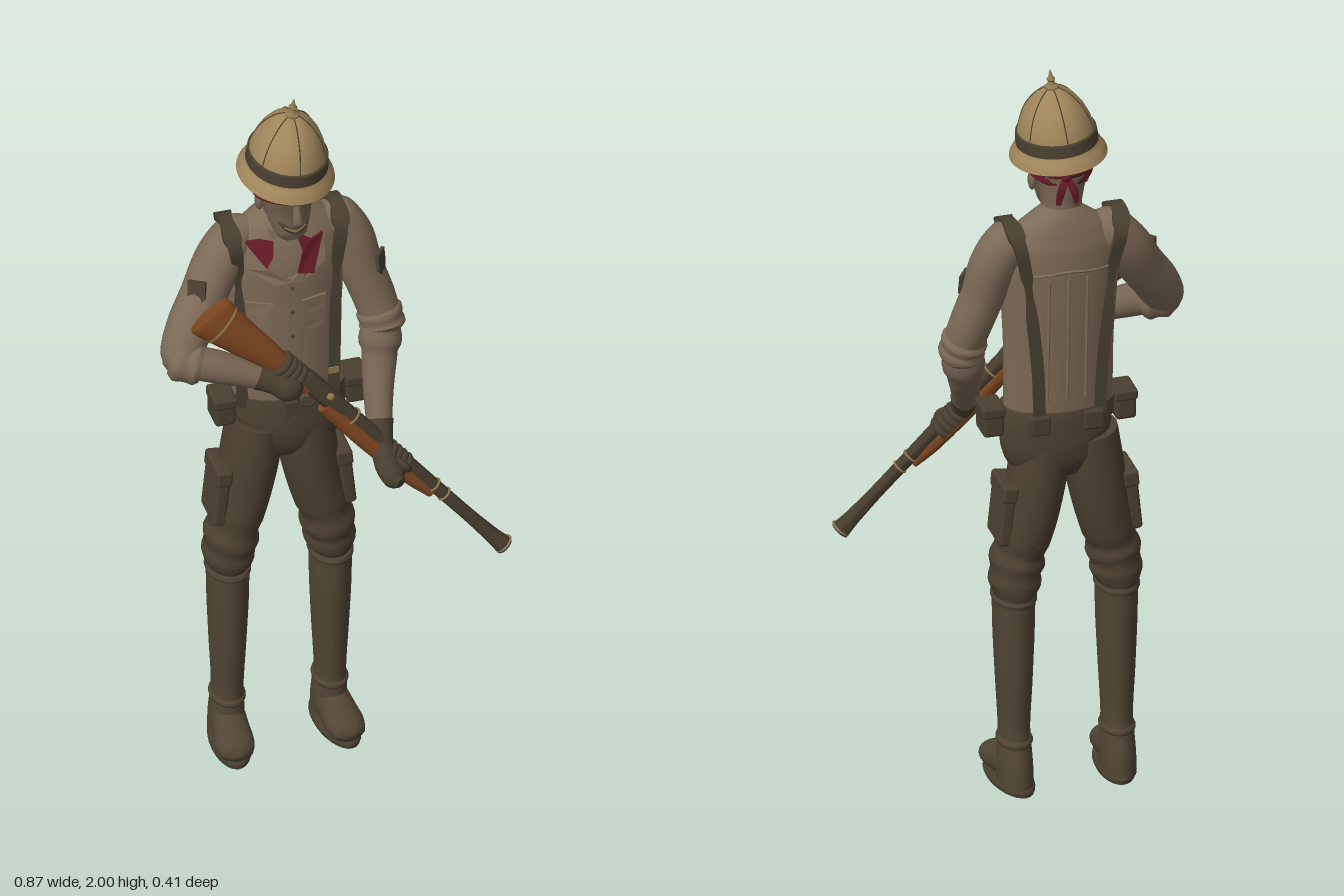
import * as THREE from 'three';
import { toCreasedNormals } from 'three/addons/utils/BufferGeometryUtils.js';
import { RoundedBoxGeometry } from 'three/addons/geometries/RoundedBoxGeometry.js';

const paint = (name, color, side = THREE.FrontSide) => {
  const m = new THREE.MeshStandardMaterial({ color, side });
  m.name = name;
  return m;
};
const M = {
  shirt: paint('shirt khaki', 0x7d6a56),
  trousers: paint('trouser brown', 0x4c4030),
  boots: paint('boot brown', 0x514534),
  helmet: paint('helmet tan', 0xa0855a, THREE.DoubleSide),
  leather: paint('dark leather', 0x493f30, THREE.DoubleSide),
  red: paint('dark red cloth', 0x661b26, THREE.DoubleSide),
  skin: paint('skin', 0x766452),
  wood: paint('wood', 0x7d4520),
  metal: paint('gun metal', 0x473d2e),
  brass: paint('dull brass', 0x8f784e),
};
const V = (x, y, z) => new THREE.Vector3(x, y, z);

function add(parent, name, geo, mat, pos, rot) {
  const m = new THREE.Mesh(geo, mat);
  m.name = name;
  if (pos) m.position.set(...pos);
  if (rot) m.rotation.set(...rot);
  parent.add(m);
  return m;
}

// Smooth sweep through points [x, y, z, half width a, half width b]; a lies along ref.
function sweep(pts, { sides = 20, seg = 6, ref = V(1, 0, 0) } = {}) {
  const path = new THREE.CatmullRomCurve3(pts.map(p => V(p[0], p[1], p[2])));
  const size = new THREE.CatmullRomCurve3(pts.map(p => V(p[3], p[4] ?? p[3], 0)));
  const n = (pts.length - 1) * seg, pos = [], idx = [];
  const square = sides === 4, k = square ? Math.SQRT2 : 1;
  for (let i = 0; i <= n; i++) {
    const c = path.getPoint(i / n), s = size.getPoint(i / n), T = path.getTangent(i / n);
    const U = ref.clone().addScaledVector(T, -ref.dot(T)).normalize();
    const W = T.clone().cross(U);
    for (let j = 0; j < sides; j++) {
      const q = (j + (square ? 0.5 : 0)) / sides * Math.PI * 2;
      const p = c.clone().addScaledVector(U, k * s.x * Math.cos(q)).addScaledVector(W, k * s.y * Math.sin(q));
      pos.push(p.x, p.y, p.z);
      const a = i * sides + j, b = i * sides + (j + 1) % sides;
      if (i < n) idx.push(a, b, b + sides, a, b + sides, a + sides);
    }
  }
  const s0 = pos.length / 3, last = n * sides;
  [0, 1].forEach(t => pos.push(...path.getPoint(t).toArray()));
  for (let j = 0; j < sides; j++) {
    const j2 = (j + 1) % sides;
    idx.push(s0, j2, j, s0 + 1, last + j, last + j2);
  }
  const g = new THREE.BufferGeometry();
  g.setAttribute('position', new THREE.Float32BufferAttribute(pos, 3));
  g.setIndex(idx);
  return toCreasedNormals(g, 0.8);
}

// Torso sections: y, centre z, half width, half depth
const CX = -0.08;
const TORSO = [[1.04, -.095, .142, .078], [1.12, -.095, .142, .082], [1.25, -.098, .143, .085], [1.38, -.102, .15, .088],
  [1.48, -.104, .156, .089], [1.55, -.11, .146, .08], [1.595, -.113, .115, .066], [1.625, -.113, .075, .055], [1.645, -.112, .045, .045]];
function surf(x, y, dir = 1) {
  let i = 0;
  while (i < TORSO.length - 2 && TORSO[i + 1][0] < y) i++;
  const t = (y - TORSO[i][0]) / (TORSO[i + 1][0] - TORSO[i][0]);
  const [, z, a, b] = TORSO[i].map((v, k) => v + (TORSO[i + 1][k] - v) * t);
  return z + dir * b * Math.sqrt(Math.max(0.05, 1 - ((x - CX) / a) ** 2));
}
// Thin plate laid on the chest
function plate(points, off) {
  const shape = new THREE.Shape(points.map(p => new THREE.Vector2(...p)));
  const g = new THREE.ExtrudeGeometry(shape, { depth: 0.008, bevelEnabled: false }), p = g.attributes.position;
  for (let i = 0; i < p.count; i++) p.setZ(i, p.getZ(i) + off + surf(p.getX(i), p.getY(i)));
  g.computeVertexNormals();
  return g;
}

function buildTorso(root) {
  const g = new THREE.Group(); g.name = 'torso'; root.add(g);
  add(g, 'shirt', sweep(TORSO.map(([y, z, a, b]) => [CX, y, z, a, b]), { sides: 36 }), M.shirt);
  add(g, 'openNeck', plate([[-.14, 1.6], [-.1, 1.475], [-.05, 1.6]], 0), M.skin);
  add(g, 'scarfRight', plate([[-.2, 1.57], [-.165, 1.582], [-.133, 1.578], [-.138, 1.54], [-.155, 1.51]], .013), M.red);
  add(g, 'scarfLeft', plate([[0, 1.578], [-.035, 1.57], [-.073, 1.595], [-.06, 1.545], [-.077, 1.49], [-.035, 1.482]], .013), M.red);
  for (const s of [-1, 1]) {
    const X = d => -.1 + s * d;
    add(g, 'lapel', plate([[X(.105), 1.565], [X(.085), 1.575], [X(.05), 1.5], [X(0), 1.46], [X(.035), 1.455], [X(.1), 1.5]], .005), M.shirt);
    add(g, 'chestPocket', plate([[X(.04), 1.39], [X(.1), 1.39], [X(.1), 1.31], [X(.07), 1.295], [X(.04), 1.31]], 0), M.shirt);
    add(g, 'pocketFlap', plate([[X(.037), 1.395], [X(.103), 1.395], [X(.1), 1.365], [X(.07), 1.35], [X(.04), 1.365]], .003), M.shirt);
    // suspender over the shoulder
    const f = (d, y) => [-.09 + s * d, y, surf(-.09 + s * d, y) + .006, .015, .006];
    const b = (d, y) => [-.09 + s * d, y, surf(-.09 + s * d, y, -1) - .006, .015, .006];
    const over = [[.14, 1.575, -.045], [.145, 1.612, -.1], [.135, 1.58, -.17]].map(([d, y, z]) => [-.09 + s * d, y, z, .017, .007]);
    add(g, 'suspender', sweep([f(.115, 1.06), f(.12, 1.2), f(.123, 1.35), f(.128, 1.48), ...over,
      b(.115, 1.48), b(.1, 1.35), b(.085, 1.2), b(.08, 1.06)], { sides: 4 }), M.leather);
    add(g, 'suspenderClip', new THREE.BoxGeometry(.026, .018, .01), M.brass, [-.09 + s * .116, 1.14, surf(-.09 + s * .116, 1.14) + .008]);
  }
  // button placket and back seams
  add(g, 'placket', plate([[-.1, 1.47], [-.08, 1.47], [-.08, 1.09], [-.1, 1.09]], .001), M.shirt);
  for (let i = 0; i < 5; i++) add(g, 'button', new THREE.SphereGeometry(.005, 10, 8), M.leather, [-.09, 1.14 + i * .075, surf(-.09, 1.14 + i * .075) + .009]);
  for (const x of [-.13, -.08, -.03]) add(g, 'backPleat', sweep([1.12, 1.25, 1.38, 1.47].map(y => [x, y, surf(x, y, -1) - .001, .004]), { sides: 8 }), M.shirt);
  add(g, 'backYoke', sweep([-.19, -.135, -.08, -.025, .03].map(x => [x, 1.49 - Math.abs(x + .08) * .1, surf(x, 1.48, -1), .004]), { sides: 8, ref: V(0, 1, 0) }), M.shirt);
  // belt with buckle and pouches
  add(g, 'belt', sweep([[-.075, 1.035, -.095, .15, .086], [-.075, 1.06, -.095, .151, .087], [-.075, 1.085, -.095, .15, .086]], { sides: 36 }), M.boots);
  add(g, 'buckle', new RoundedBoxGeometry(.05, .045, .012, 2, .004), M.leather, [-.085, 1.06, -.008]);
  for (const [x, y] of [[-.252, 1.05], [.095, 1.05]]) {
    add(g, 'pouch', new RoundedBoxGeometry(.055, .08, .08, 2, .01), M.leather, [x, y, -.085]);
    add(g, 'pouchFlap', new RoundedBoxGeometry(.061, .03, .086, 2, .008), M.leather, [x, y + .028, -.085]);
  }
  for (const x of [-.15, -.01]) add(g, 'backPouch', new RoundedBoxGeometry(.055, .055, .022, 2, .008), M.leather, [x, 1.055, -.175]);
}

function buildLegs(root) {
  add(root, 'hips', sweep([[-.07, 1.055, -.095, .143, .08], [-.075, .99, -.095, .146, .085], [-.09, .935, -.095, .128, .08], [-.1, .89, -.095, .06, .055], [-.1, .875, -.095, .02, .03]], { sides: 32 }), M.trousers);
  for (const s of [-1, 1]) {
    const g = new THREE.Group(); g.name = s < 0 ? 'rightLeg' : 'leftLeg'; root.add(g);
    const X = d => -.1 + s * d;
    const L = rows => rows.map(([d, ...r]) => [X(d), ...r]);
    // baggy trouser leg with folds at the knee
    add(g, 'trouserLeg', sweep(L([[.06, .99, -.095, .074, .08], [.075, .88, -.095, .076, .086], [.095, .77, -.095, .072, .086],
      [.112, .705, -.092, .07, .083], [.12, .67, -.09, .063, .078], [.126, .64, -.09, .071, .084], [.131, .61, -.092, .063, .078],
      [.133, .585, -.093, .067, .08], [.135, .555, -.095, .056, .074], [.135, .53, -.095, .045, .06]]), { sides: 24 }), M.trousers);
    add(g, 'cargoPocket', new RoundedBoxGeometry(.035, .16, .115, 2, .01), M.trousers, [X(.165), .785, -.09], [0, 0, s * .1]);
    add(g, 'cargoFlap', new RoundedBoxGeometry(.042, .045, .12, 2, .008), M.trousers, [X(.158), .85, -.09], [0, 0, s * .1]);
    // tall boot
    add(g, 'bootShaft', sweep(L([[.135, .545, -.09, .054, .074], [.135, .44, -.09, .052, .071], [.135, .3, -.092, .046, .064],
      [.135, .17, -.093, .04, .056], [.135, .12, -.096, .042, .06], [.135, .06, -.1, .045, .07], [.135, .01, -.1, .046, .074]]), { sides: 24 }), M.boots);
    add(g, 'bootRim', sweep(L([[.135, .53, -.091, .055, .076], [.135, .54, -.091, .058, .079], [.135, .55, -.091, .055, .076]]), { sides: 24 }), M.boots);
    add(g, 'ankleStrap', sweep(L([[.135, .125, -.095, .042, .06], [.135, .135, -.095, .046, .064], [.135, .145, -.095, .041, .058]]), { sides: 24 }), M.boots);
    const foot = new THREE.Group(); foot.name = 'foot'; foot.position.set(X(.135), 0, -.095); foot.rotation.y = s * .1; g.add(foot);
    add(foot, 'shoe', sweep([[0, .05, -.04, .035, .045], [0, .06, 0, .045, .055], [0, .055, .05, .047, .05],
      [0, .043, .1, .051, .037], [0, .036, .135, .041, .027], [0, .032, .15, .015, .012]], { sides: 24 }), M.boots);
    add(foot, 'sole', sweep([[0, 0, .034, .05, .117], [0, .008, .034, .053, .119], [0, .018, .034, .05, .115]], { sides: 28 }), M.leather);
  }
}

function buildArms(root) {
  const o = { ref: V(0, 0, 1) };
  const r = new THREE.Group(); r.name = 'rightArm'; root.add(r);
  add(r, 'sleeve', sweep([[-.165, 1.585, -.112, .03], [-.205, 1.56, -.112, .058], [-.255, 1.5, -.1, .063], [-.305, 1.42, -.07, .06],
    [-.355, 1.345, -.035, .059], [-.378, 1.29, -.005, .055], [-.355, 1.275, .015, .048]], o), M.shirt);
  add(r, 'rolledCuff', sweep([[-.405, 1.29, -.012, .045], [-.388, 1.286, -.003, .059], [-.367, 1.28, .006, .055], [-.35, 1.277, .012, .059], [-.335, 1.274, .018, .05]], o), M.shirt);
  add(r, 'forearm', sweep([[-.36, 1.278, .01, .044], [-.3, 1.265, .03, .043], [-.2, 1.235, .062, .032], [-.16, 1.225, .075, .028]], o), M.skin);
  add(r, 'glove', sweep([[-.2, 1.236, .06, .037], [-.18, 1.228, .068, .034], [-.16, 1.22, .076, .033], [-.13, 1.205, .085, .039], [-.105, 1.185, .08, .026]], o), M.leather);
  const l = new THREE.Group(); l.name = 'leftArm'; root.add(l);
  add(l, 'sleeve', sweep([[.015, 1.585, -.112, .03], [.055, 1.56, -.112, .058], [.09, 1.5, -.104, .061], [.115, 1.41, -.092, .057],
    [.145, 1.32, -.08, .055], [.162, 1.255, -.065, .052]], o), M.shirt);
  add(l, 'rolledCuff', sweep([[.155, 1.285, -.075, .05], [.158, 1.27, -.07, .06], [.161, 1.25, -.065, .056], [.163, 1.238, -.062, .06], [.163, 1.222, -.056, .047]], o), M.shirt);
  add(l, 'forearm', sweep([[.163, 1.25, -.066, .046], [.15, 1.17, -.04, .046], [.13, 1.09, .015, .039], [.115, 1.02, .075, .032], [.112, .99, .1, .028]], o), M.skin);
  add(l, 'glove', sweep([[.117, 1.035, .066, .036], [.113, 1.01, .085, .033], [.112, .98, .11, .03], [.115, .945, .145, .032], [.125, .925, .175, .03], [.135, .92, .195, .014]], o), M.leather);
  add(l, 'thumb', sweep([[.125, .965, .135, .012], [.155, .945, .16, .011], [.17, .925, .15, .009]], { sides: 10, ref: V(0, 0, 1) }), M.leather);
  // shield patches on the sleeves
  const shield = new THREE.Shape([[-.024, .035], [.024, .035], [.024, -.01], [0, -.038], [-.024, -.01]].map(p => new THREE.Vector2(...p)));
  for (const [arm, c, n] of [[r, [-.297, 1.435, -.075], V(-.62, .32, .7)], [l, [.113, 1.42, -.092], V(.82, .1, .56)]]) {
    const m = add(arm, 'sleevePatch', new THREE.ExtrudeGeometry(shield, { depth: .009, bevelEnabled: false }), M.leather);
    n.normalize();
    m.position.set(...c).addScaledVector(n, .052);
    m.quaternion.setFromUnitVectors(V(0, 0, 1), n);
  }
}

function buildHead(root) {
  const g = new THREE.Group(); g.name = 'head'; root.add(g);
  add(g, 'neck', sweep([[-.085, 1.58, -.11, .058], [-.087, 1.635, -.1, .052], [-.09, 1.68, -.092, .057, .06], [-.093, 1.73, -.08, .07, .076], [-.093, 1.78, -.075, .07, .08]]), M.skin);
  add(g, 'face', sweep([[-.09, 1.6, .003, .016, .012], [-.09, 1.612, -.006, .036, .03], [-.091, 1.645, -.024, .051, .05], [-.092, 1.68, -.038, .06, .068],
    [-.093, 1.72, -.048, .07, .085], [-.093, 1.78, -.055, .08, .095], [-.09, 1.84, -.06, .07, .085]], { sides: 28 }), M.skin);
  add(g, 'nose', sweep([[-.09, 1.725, .03, .01], [-.09, 1.695, .042, .012], [-.09, 1.683, .044, .014, .012], [-.09, 1.674, .034, .008]], { sides: 12 }), M.skin);
  add(g, 'grin', sweep([[-.13, 1.668, .005, .003], [-.112, 1.652, .02, .008, .005], [-.09, 1.646, .027, .009, .005], [-.068, 1.652, .02, .008, .005], [-.05, 1.668, .005, .003]], { sides: 10, ref: V(0, 1, 0) }), M.leather);
  add(g, 'teeth', sweep([[-.118, 1.656, .02, .003], [-.09, 1.647, .03, .004, .003], [-.062, 1.656, .02, .003]], { sides: 8, ref: V(0, 1, 0) }), M.brass);
  for (const s of [-1, 1]) add(g, 'ear', new THREE.SphereGeometry(.02, 12, 10), M.skin, [-.092 + s * .07, 1.695, -.06]).scale.set(.5, 1.3, .9);
  // blindfold with knot and tails
  add(g, 'blindfold', sweep([[-.094, 1.72, -.048, .074, .088], [-.094, 1.73, -.05, .088, .101], [-.094, 1.743, -.052, .084, .098],
    [-.094, 1.756, -.054, .09, .103], [-.094, 1.775, -.056, .085, .098]], { sides: 32 }), M.red);
  add(g, 'knot', new THREE.SphereGeometry(.013, 12, 10), M.red, [-.085, 1.742, -.155]);
  for (const s of [-1, 1]) add(g, 'tail', sweep([[-.085, 1.74, -.155, .007, .003], [-.085 + s * .016, 1.71, -.166, .01, .003], [-.085 + s * .024, 1.67, -.164, .006, .003]], { sides: 4 }), M.red);

  // sun helmet
  const h = new THREE.Group(); h.name = 'helmet'; g.add(h);
  h.position.set(-.09, 1.765, -.066); h.rotation.set(.05, 0, -.08); h.scale.z = 1.12;
  const lathe = pts => toCreasedNormals(new THREE.LatheGeometry(pts.map(p => new THREE.Vector2(...p)), 48), .7);
  const dome = [[.1, .04], [.097, .073], [.089, .1], [.077, .128], [.06, .153], [.038, .174], [.014, .187]];
  add(h, 'shell', lathe([[.119, -.001], [.124, .002], [.122, .009], [.11, .027], ...dome]), M.helmet);
  add(h, 'brimLining', lathe([[.082, .03], [.119, -.001]]), M.leather);
  add(h, 'band', lathe([[.1, .037], [.1045, .039], [.102, .07], [.096, .073]]), M.leather);
  for (let i = 0; i < 6; i++) {
    const a = i * Math.PI / 3 + Math.PI / 2;
    add(h, 'seam', sweep(dome.slice(1).map(([r, y]) => [r * Math.cos(a), y, r * Math.sin(a), .0016]), { sides: 6, ref: V(-Math.sin(a), 0, Math.cos(a)) }), M.leather);
  }
  add(h, 'spike', lathe([[.018, .18], [.018, .19], [.01, .196], [.008, .204], [.011, .209], [.006, .216], [.001, .235]]), M.brass);
}

function buildRifle(root) {
  const g = new THREE.Group(); g.name = 'rifle'; root.add(g);
  // local x runs from butt to muzzle
  const start = V(-.31, 1.475, .025), X = V(.415, .645, .17).sub(start).normalize();
  const Y = V(-X.y, X.x, 0).normalize(), Z = X.clone().cross(Y);
  g.position.copy(start);
  g.quaternion.setFromRotationMatrix(new THREE.Matrix4().makeBasis(X, Y, Z));
  const o = { ref: V(0, 1, 0) };
  add(g, 'stock', sweep([[.025, -.036, 0, .06, .023], [.035, -.036, 0, .064, .025], [.12, -.029, 0, .052, .027], [.22, -.018, 0, .038, .026], [.3, -.014, 0, .028, .022], [.38, -.01, 0, .026, .02]], o), M.wood);
  add(g, 'buttBand', sweep([[.07, -.034, 0, .0605, .0275], [.076, -.033, 0, .0605, .0275]], { ...o, seg: 1 }), M.brass);
  add(g, 'receiver', sweep([[.33, 0, 0, .022, .02], [.36, 0, 0, .028, .023], [.46, 0, 0, .027, .023], [.5, 0, 0, .022, .02]], o), M.metal);
  add(g, 'forestock', sweep([[.45, -.018, 0, .025, .022], [.6, -.021, 0, .026, .025], [.78, -.019, 0, .022, .022], [.85, -.016, 0, .014, .016]], o), M.wood);
  add(g, 'barrel', sweep([[.45, .004, 0, .02], [.7, .003, 0, .019], [.95, .001, 0, .017], [1.06, 0, 0, .02], [1.111, 0, 0, .025]], o), M.metal);
  for (const [x, r] of [[.53, .024], [.84, .019], [.88, .018], [1.105, .024]])
    add(g, 'barrelRing', new THREE.TorusGeometry(r, .003, 8, 24), M.brass, [x, .002, 0], [0, Math.PI / 2, 0]);
  add(g, 'triggerGuard', new THREE.TorusGeometry(.024, .004, 8, 20), M.metal, [.4, -.035, 0]);
  add(g, 'boltHandle', new THREE.SphereGeometry(.01, 12, 8), M.brass, [.43, .012, .026]);
  // gloved fingers wrapped round the grip and forestock
  for (const [name, x0] of [['rightFinger', .275], ['leftFinger', .675]])
    for (let i = 0; i < 4; i++) add(g, name, new THREE.TorusGeometry(.029, .01, 8, 20, 4.6), M.leather, [x0 + i * .019, -.013, 0], [0, Math.PI / 2, 0]);
}

export function createModel() {
  const root = new THREE.Group();
  root.name = 'soldier';
  [buildTorso, buildLegs, buildArms, buildHead, buildRifle].forEach(build => build(root));
  return root;
}
